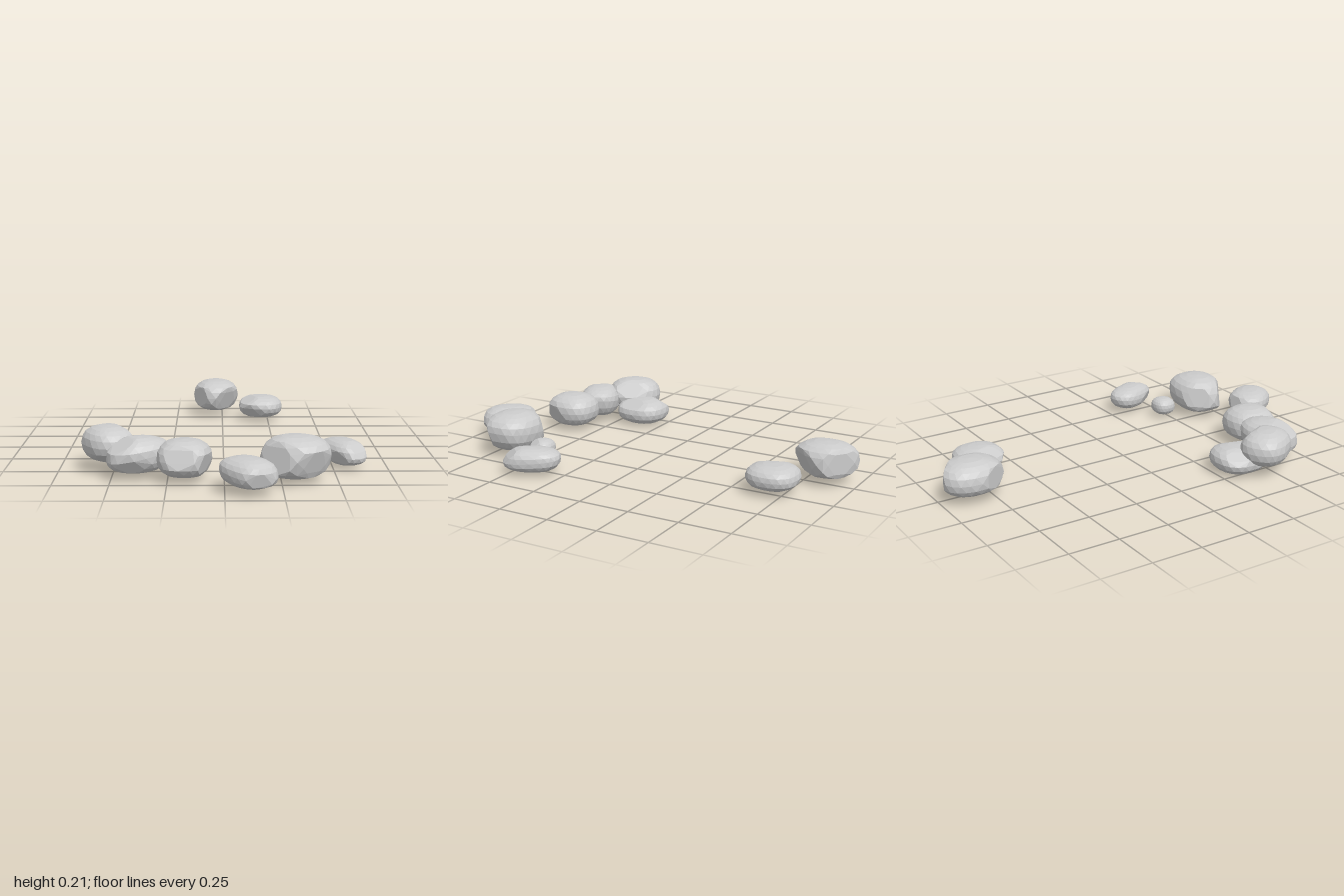
import * as THREE from 'three';
import { ConvexGeometry } from 'three/addons/geometries/ConvexGeometry.js';

// Each stone: centre [x, z], size [length, width], yaw of its length from +x towards +z,
// heights [bottom, top], rise of the rim along its length, and flat chips
// [heading, elevation, share of the reach that is kept]. Angles are in degrees.
const STONES = [
  { name: 'backStoneTall', at: [-.035, -.845], size: [.31, .25], yaw: 90, y: [.03, .2],
    chips: [[41, -20, .7], [-49, 0, .7], [148, 0, .82]] },
  { name: 'backStoneLow', at: [.21, -.69], size: [.24, .25], yaw: 0, y: [.02, .138],
    chips: [[160, 65], [120, -35]] },
  { name: 'farLeftStone', at: [.55, .4], size: [.28, .17], yaw: 65, y: [.015, .132], rise: -.08,
    chips: [[45, 50], [140, -20]] },
  { name: 'pebble', at: [.35, .48], size: [.125, .12], yaw: 0, y: [.015, .105],
    chips: [[30, 50]] },
  { name: 'largeLeftStone', at: [.31, .675], size: [.32, .27], yaw: 0, y: [.018, .21], rise: .1,
    chips: [[60, -18, .82], [128, 8, .77], [220, 10]] },
  { name: 'frontStone', at: [.1, .87], size: [.28, .21], yaw: 52, y: [.028, .156], rise: -.1,
    chips: [[270, 15], [75, -15]] },
  { name: 'frontRightStone', at: [-.175, .65], size: [.265, .25], yaw: 90, y: [.018, .187],
    chips: [[25, -15], [100, 20]] },
  { name: 'slantedStone', at: [-.38, .61], size: [.29, .21], yaw: -23, y: [.028, .19], rise: .18,
    chips: [[147, 60, .8], [85, -35]] },
  { name: 'highRightStone', at: [-.52, .477], size: [.28, .23], yaw: 58, y: [.045, .214],
    chips: [[-25, 35], [100, -60]] },
  { name: 'backRightStone', at: [-.44, .375], size: [.27, .26], yaw: 90, y: [.002, .135],
    chips: [[15, 65], [215, 55]] },
];

const AROUND = 20;
const LEVELS = 5;
const ROUNDNESS = 2.4;
const DEFAULT_KEEP = 0.85;

function seeded(seed) {
  return () => (seed = (seed * 16807) % 2147483647) / 2147483647;
}

// Signed power that squares off a sine or cosine.
function squared(value) {
  return Math.sign(value) * Math.pow(Math.abs(value), 2 / ROUNDNESS);
}

// Pulls everything beyond a plane back onto it, leaving a flat face.
function chip(points, [heading, elevation, keep = DEFAULT_KEEP]) {
  const a = THREE.MathUtils.degToRad(heading);
  const e = THREE.MathUtils.degToRad(elevation);
  const normal = new THREE.Vector3(Math.cos(a) * Math.cos(e), Math.sin(e), Math.sin(a) * Math.cos(e));
  const limit = keep * Math.max(...points.map((p) => p.dot(normal)));
  for (const p of points) {
    const reach = p.dot(normal);
    if (reach > limit) p.multiplyScalar(limit / reach);
  }
}

// A squarish, slightly uneven ellipsoid with a sloping rim and chipped faces.
function stoneGeometry({ at, size, yaw, y: [bottom, top], rise = 0, chips }, seed) {
  const random = seeded(seed);
  const up = new THREE.Vector3(0, 1, 0);
  const turn = -THREE.MathUtils.degToRad(yaw);
  const half = (top - bottom) / 2;
  const points = [];
  for (let level = -LEVELS; level <= LEVELS; level++) {
    const latitude = (level / LEVELS) * Math.PI / 2;
    const height = squared(Math.sin(latitude));
    const spread = squared(Math.cos(latitude));
    const count = Math.abs(level) === LEVELS ? 1 : AROUND;
    for (let i = 0; i < count; i++) {
      const angle = ((i + (level & 1) * 0.5) / AROUND) * Math.PI * 2;
      const radius = (spread * (0.98 + 0.02 * random())) / 2;
      const along = size[0] * radius * squared(Math.cos(angle));
      const across = size[1] * radius * squared(Math.sin(angle));
      const rim = rise * along * (1 - Math.abs(height));
      points.push(new THREE.Vector3(along, half * height + rim, across).applyAxisAngle(up, turn));
    }
  }
  chips.forEach((face) => chip(points, face));
  return new ConvexGeometry(points).translate(at[0], bottom + half, at[1]);
}

export function createModel() {
  const group = new THREE.Group();
  group.name = 'scatteredStones';
  const material = new THREE.MeshStandardMaterial({ color: 0xcccccc, flatShading: true });
  STONES.forEach((stone, i) => {
    const mesh = new THREE.Mesh(stoneGeometry(stone, 101 + i * 37), material);
    mesh.name = stone.name;
    group.add(mesh);
  });
  return group;
}
